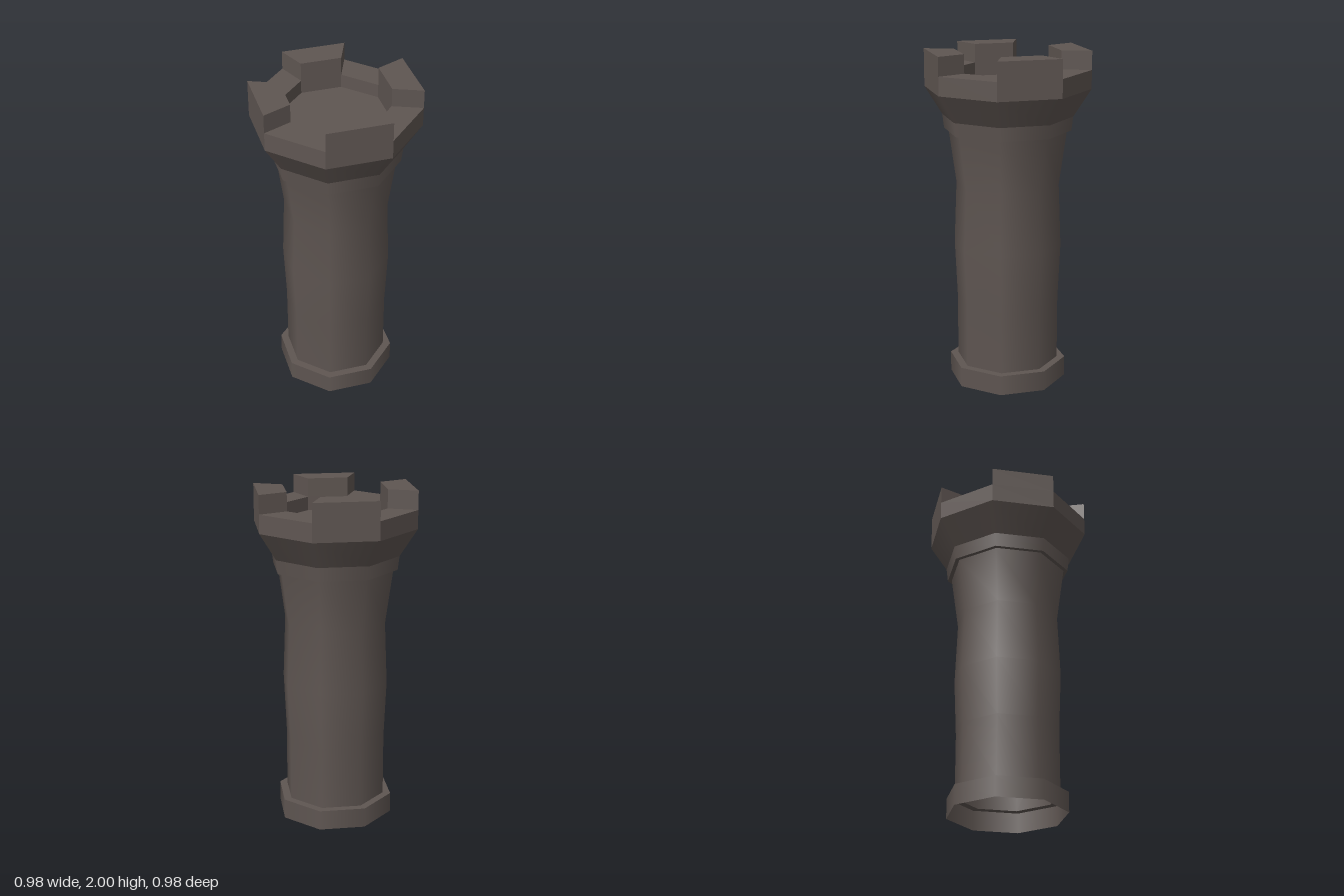
import * as THREE from 'three';

const SIDES = 8;
const OUTER = 0.488, INNER = 0.311;

export function createModel() {
  const tower = new THREE.Group();
  tower.name = 'tower';

  const stone = new THREE.MeshStandardMaterial({ color: 0x5f5652, side: THREE.DoubleSide });
  stone.name = 'darkStone';

  const add = (name, geometry) => {
    const mesh = new THREE.Mesh(geometry, stone);
    mesh.name = name;
    tower.add(mesh);
    return mesh;
  };

  // Octagonal shell, smooth around its sides, corners on the axes
  const shell = (name, profile) =>
    add(name, new THREE.LatheGeometry(profile.map(([r, y]) => new THREE.Vector2(r, y)), SIDES));

  // Octagonal shell with faceted sides
  const facetedShell = (name, profile) => {
    const mesh = shell(name, profile);
    mesh.geometry = mesh.geometry.toNonIndexed();
    mesh.geometry.computeVertexNormals();
  };

  // Foot, open underneath
  shell('footWall', [[0.352, 0], [0.352, 0.12]]);
  shell('footLedge', [[0.352, 0.12], [0.305, 0.12]]);

  // Hollow shaft with a slight swell and a flare at the top
  shell('shaft', [[0.305, 0.12], [0.305, 0.5], [0.32, 0.84], [0.305, 1.21], [0.35, 1.535]]);

  // Collar and the corbel that carries the parapet
  shell('collarUnderside', [[0.35, 1.535], [0.375, 1.535]]);
  shell('collar', [[0.375, 1.535], [0.385, 1.617]]);
  shell('corbel', [[0.385, 1.617], [OUTER, 1.78]]);

  // Low parapet wall around the sunken floor
  facetedShell('parapetOuterWall', [[OUTER, 1.78], [OUTER, 1.89]]);
  facetedShell('parapetTop', [[OUTER, 1.89], [INNER, 1.89]]);
  facetedShell('parapetInnerWall', [[INNER, 1.89], [INNER, 1.81]]);
  const floor = add('floor', new THREE.CircleGeometry(INNER, SIDES));
  floor.rotation.x = -Math.PI / 2;
  floor.position.y = 1.81;

  // Merlons on every second side
  const step = (Math.PI * 2) / SIDES;
  const corner = (r, a) => new THREE.Vector2(r * Math.cos(a), -r * Math.sin(a));
  for (let i = 1; i < SIDES; i += 2) {
    const a = i * step, b = a + step;
    const outline = new THREE.Shape([
      corner(OUTER, a), corner(OUTER, b), corner(INNER, b), corner(INNER, a),
    ]);
    const geometry = new THREE.ExtrudeGeometry(outline, { depth: 0.11, bevelEnabled: false });
    geometry.rotateX(-Math.PI / 2);
    add('merlon', geometry).position.y = 1.89;
  }

  return tower;
}
